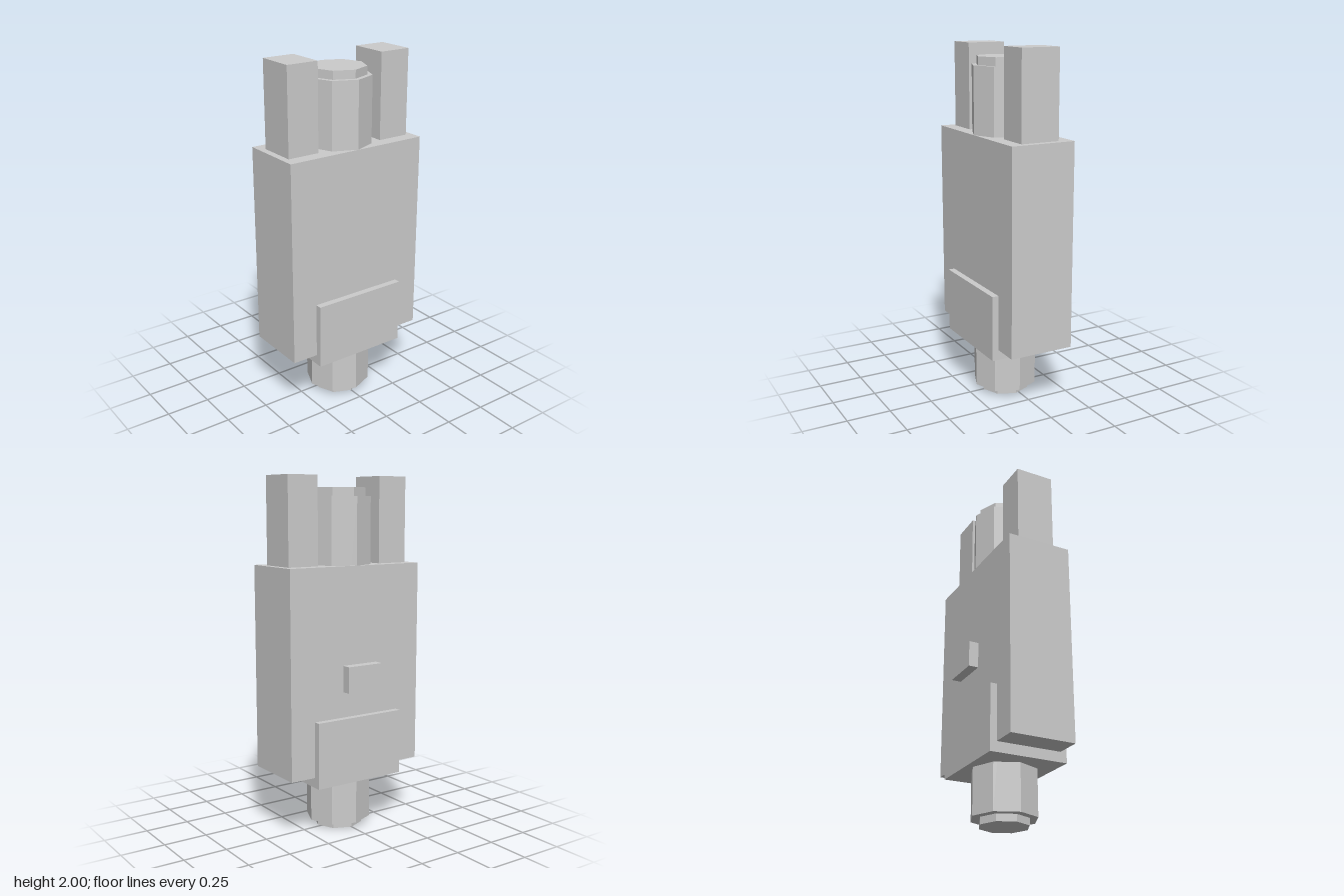
import * as THREE from 'three';

export function createModel() {
  const model = new THREE.Group();
  const material = new THREE.MeshStandardMaterial({ color: 0xcccccc, flatShading: true });
  const axisZ = 0.022; // shared depth centre of the housing, posts and barrel

  const add = (name, geometry, x, y, z) => {
    const mesh = new THREE.Mesh(geometry, material);
    mesh.name = name;
    mesh.position.set(x, y, z);
    model.add(mesh);
  };
  // Box given by its width and centre in x, and its extents in y and z
  const box = (name, x, width, y0, y1, z0, z1) =>
    add(name, new THREE.BoxGeometry(width, y1 - y0, z1 - z0), x, (y0 + y1) / 2, (z0 + z1) / 2);
  // Upright octagonal prism with a corner facing the front
  const octagon = (name, radius, y0, y1) =>
    add(name, new THREE.CylinderGeometry(radius, radius, y1 - y0, 8), 0, (y0 + y1) / 2, axisZ);

  // Main housing with the wider band around its lower part
  box('housing', 0, 0.86, 0.36, 1.515, -0.165, 0.21);
  box('lowerPlate', 0, 0.56, 0.302, 0.675, -0.203, 0.247);

  // Small block standing just off the back
  box('backButton', 0, 0.224, 0.828, 0.975, -0.249, -0.194);

  // Octagonal barrel through the housing, with stepped ends
  octagon('barrel', 0.1865, 0.04, 1.89);
  octagon('topCap', 0.158, 1.89, 1.937);
  octagon('bottomCap', 0.14, 0, 0.04);

  // Posts either side of the barrel
  for (const side of [1, -1]) {
    box(side > 0 ? 'leftPost' : 'rightPost', side * 0.299, 0.186, 1.515, 2, -0.09, 0.134);
  }

  return model;
}
